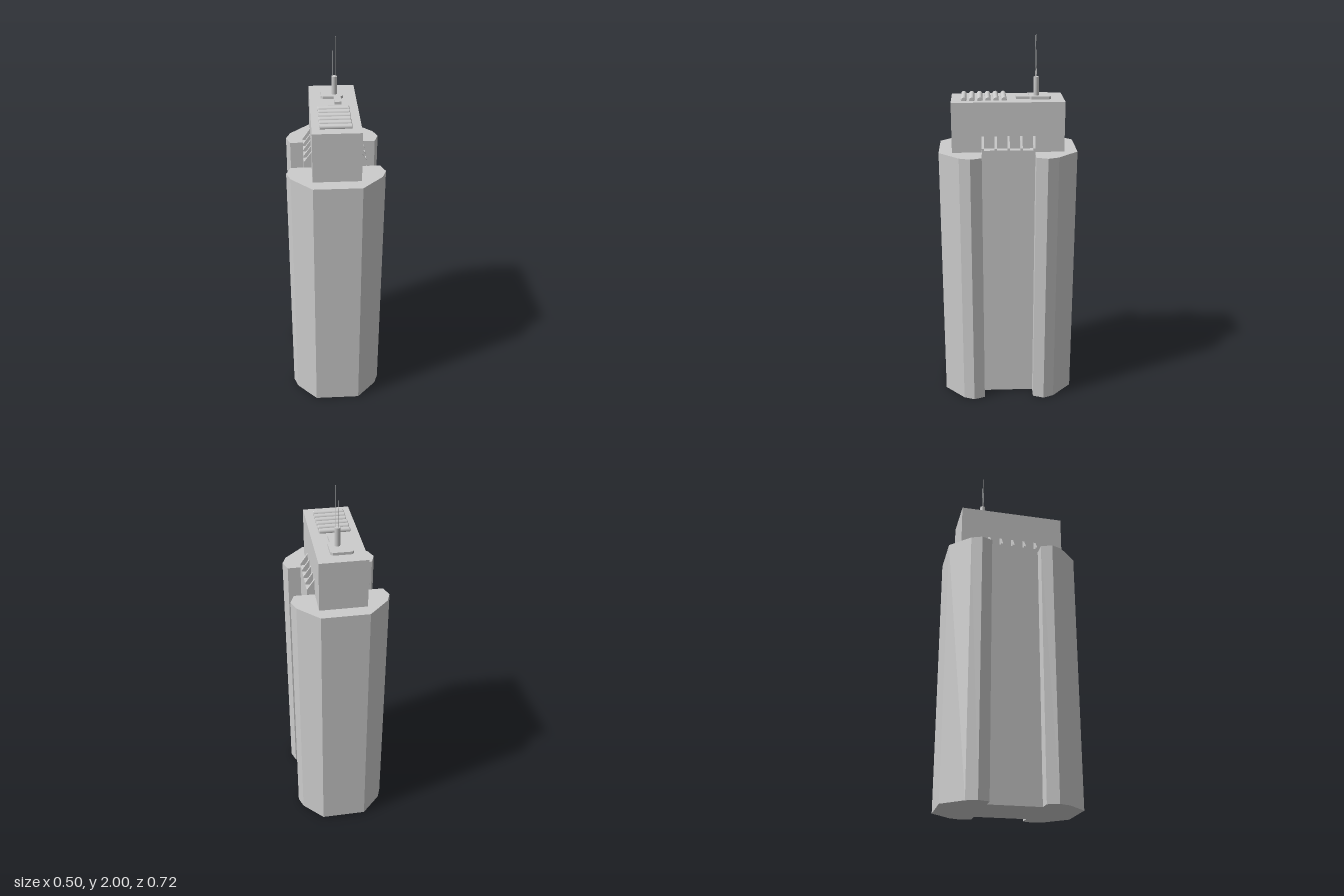
import * as THREE from 'three';

const material = new THREE.MeshStandardMaterial({ color: 0xcccccc, flatShading: true });
const smooth = new THREE.MeshStandardMaterial({ color: 0xcccccc });

function add(parent, name, geometry, x = 0, y = 0, z = 0, mat = material) {
  const mesh = new THREE.Mesh(geometry, mat);
  mesh.name = name;
  mesh.position.set(x, y, z);
  parent.add(mesh);
  return mesh;
}

// Upright prism from an [x, z] outline
function prism(outline, height) {
  const shape = new THREE.Shape(outline.map(([x, z]) => new THREE.Vector2(x, -z)));
  return new THREE.ExtrudeGeometry(shape, { depth: height, bevelEnabled: false }).rotateX(-Math.PI / 2);
}

export function createModel() {
  const model = new THREE.Group();
  model.name = 'skyscraper';

  // Main shaft: one quarter of the plan mirrored into an H-like outline
  const quarter = [[0.16, 0.138], [0.228, 0.138], [0.25, 0.197], [0.228, 0.254], [0.122, 0.36]];
  const mirror = (sx, sz) => quarter.map(([x, z]) => [x * sx, z * sz]);
  const outline = [
    ...mirror(1, 1), ...mirror(-1, 1).reverse(),
    ...mirror(-1, -1), ...mirror(1, -1).reverse(),
  ];
  add(model, 'towerShaft', prism(outline, 1.42));

  // Upper block
  add(model, 'upperBlock', new THREE.BoxGeometry(0.242, 0.26, 0.582), 0, 1.55, 0);

  // Side ledges with sloping buttress fins
  const finShape = new THREE.Shape([
    new THREE.Vector2(0.115, 1.415), new THREE.Vector2(0.16, 1.415),
    new THREE.Vector2(0.16, 1.45), new THREE.Vector2(0.121, 1.505), new THREE.Vector2(0.115, 1.505),
  ]);
  const finGeometry = new THREE.ExtrudeGeometry(finShape, { depth: 0.012, bevelEnabled: false });
  finGeometry.translate(0, 0, -0.006);
  for (const side of [1, -1]) {
    const ledge = new THREE.Group();
    ledge.name = side > 0 ? 'leftLedge' : 'rightLedge';
    ledge.rotation.y = side > 0 ? 0 : Math.PI;
    add(ledge, 'ledgeFloor', new THREE.BoxGeometry(0.042, 0.025, 0.274), 0.139, 1.4275, 0);
    for (let i = -2; i <= 2; i++) {
      add(ledge, 'buttressFin', finGeometry, 0, 0, i * 0.066 - side * 0.001);
    }
    model.add(ledge);
  }

  // Row of roof pipes with chamfered ends
  const pipeProfile = [[0, -0.079], [0.0115, -0.079], [0.0145, -0.076], [0.0145, 0.076], [0.0115, 0.079], [0, 0.079]];
  const pipeGeometry = new THREE.CylinderGeometry(0.0145, 0.0145, 0.152, 16, 1, true).rotateZ(Math.PI / 2);
  const capGeometry = new THREE.LatheGeometry(
    pipeProfile.slice(3).map(([r, y]) => new THREE.Vector2(r, y)), 16).rotateZ(-Math.PI / 2);
  for (let i = 0; i < 6; i++) {
    const pipe = new THREE.Group();
    pipe.name = 'roofPipe';
    pipe.position.set(-0.004, 1.686, 0.02 + i * 0.0412);
    add(pipe, 'pipeBody', pipeGeometry, 0, 0, 0, smooth);
    add(pipe, 'pipeEnd', capGeometry);
    add(pipe, 'pipeEnd', capGeometry).rotation.y = Math.PI;
    model.add(pipe);
  }

  // Antenna pad with clipped corners and a walkway tongue
  const pad = [
    [-0.051, -0.224], [0.042, -0.224], [0.053, -0.213], [0.053, -0.123], [0.042, -0.112],
    [0.04, -0.112], [0.04, -0.043], [0.005, -0.043], [0.005, -0.112],
    [-0.051, -0.112], [-0.062, -0.123], [-0.062, -0.213],
  ];
  add(model, 'antennaPad', prism(pad, 0.02), 0, 1.674, 0);

  // Mast and its two thin rods
  add(model, 'mast', new THREE.CylinderGeometry(0.0145, 0.0145, 0.1, 16), 0.009, 1.739, -0.149, smooth);
  const rods = [['tallRod', 0.016, -0.144, 2], ['shortRod', 0.003, -0.15, 1.925]];
  for (const [name, x, z, top] of rods) {
    add(model, name, new THREE.CylinderGeometry(0.0015, 0.0015, top - 1.785, 6), x, (top + 1.785) / 2, z);
  }

  return model;
}
